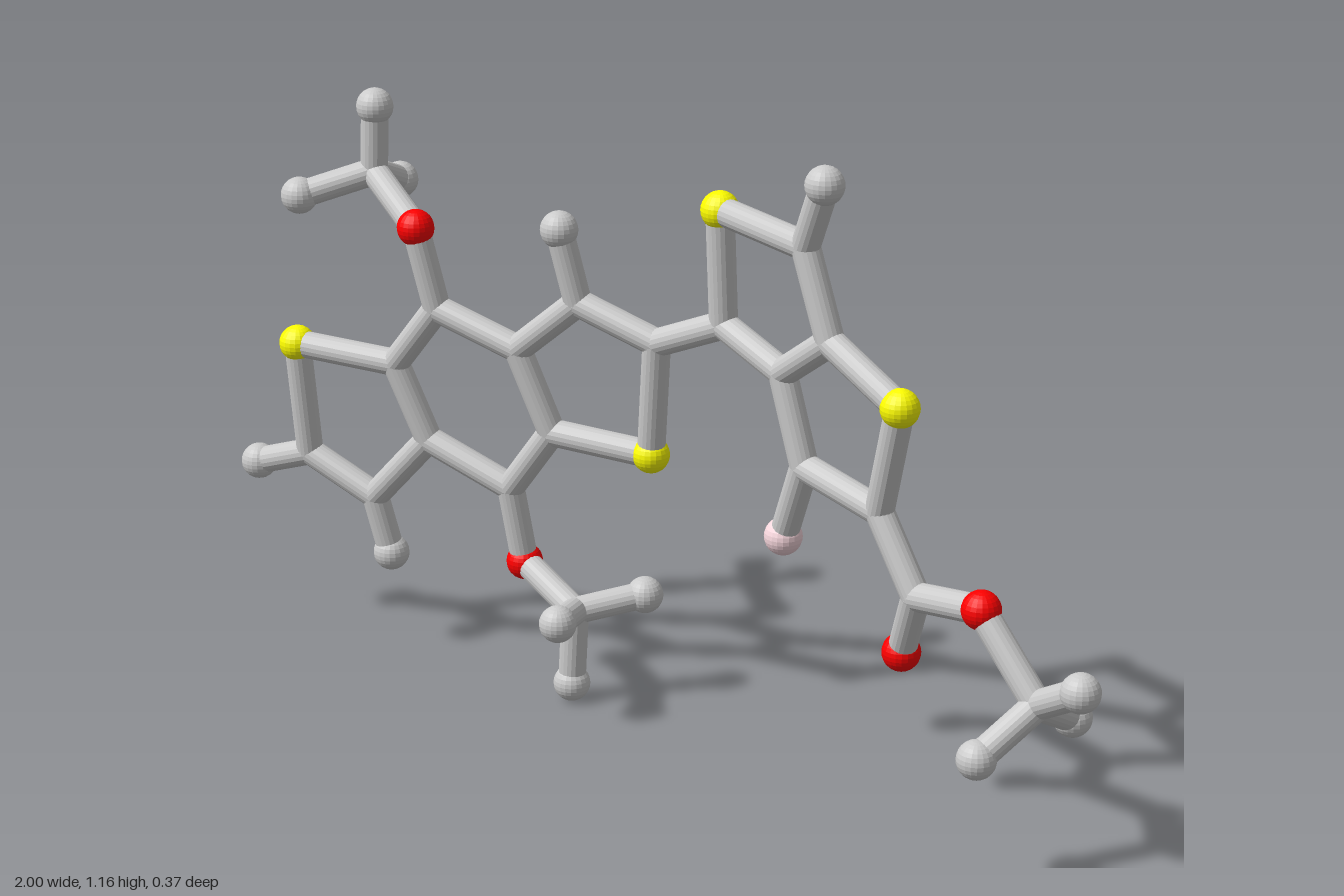
import * as THREE from 'three';

const ATOM_R = 0.035, BOND_R = 0.026;
const paint = (color) => new THREE.MeshStandardMaterial({ color, flatShading: true });
const grey = paint(0xcccccc);
const kinds = {
  C: { name: 'carbonJoint', r: BOND_R, mat: grey },
  H: { name: 'hydrogenBall', r: ATOM_R, mat: grey },
  S: { name: 'sulfurBall', r: ATOM_R, mat: paint(0xffff00) },
  O: { name: 'oxygenBall', r: ATOM_R, mat: paint(0xff0000) },
  F: { name: 'fluorineBall', r: ATOM_R, mat: paint(0xf8d8de) },
};

// Each fused ring system lies in a tilted plane z = a + b x + c y
const leftPlane = (x, y) => -0.183 - 0.167 * x + 0.1355 * y;
const rightPlane = (x, y) => -0.172 + 0.236 * x + 0.0825 * y;

// Atoms: first letter is the kind; a missing z is taken from the plane
const leftAtoms = {
  S1: [-0.837, 0.612], C2: [-0.842, 0.382], C3: [-0.703, 0.313], C4: [-0.564, 0.457], C5: [-0.618, 0.607],
  C6: [-0.511, 0.735], C7: [-0.345, 0.68], C8: [-0.29, 0.52], C9: [-0.393, 0.388],
  C10: [-0.206, 0.794], C11: [-0.05, 0.74], S12: [-0.083, 0.512],
  H2: [-0.966, 0.34], H3: [-0.682, 0.195], H10: [-0.23, 0.933],
  // upper methoxy
  O6: [-0.537, 0.892], C13: [-0.69, 0.962, -0.03],
  H13: [-0.68, 1.09, -0.025], H14: [-0.79, 0.92, 0.07], H15: [-0.728, 0.916, -0.143],
  // lower methoxy
  O9: [-0.38, 0.235], C16: [-0.222, 0.185, -0.046],
  H16: [-0.233, 0.036, -0.048], H17: [-0.168, 0.209, 0.07], H18: [-0.136, 0.207, -0.148],
};
const leftBonds = [
  'S1-C2-C3-C4-C5-S1', 'C5-C6-C7-C8-C9-C4', 'C7-C10-C11-S12-C8', 'C2-H2', 'C3-H3', 'C10-H10',
  'C6-O6-C13-H13', 'C13-H14', 'C13-H15', 'C9-O9-C16-H16', 'C16-H17', 'C16-H18',
];

const rightAtoms = {
  C1: [0.094, 0.8], S2: [0.099, 1.017], C3: [0.322, 1.003], C4: [0.377, 0.842], C5: [0.249, 0.751],
  S6: [0.548, 0.767], C7: [0.489, 0.559], C8: [0.297, 0.586],
  H3: [0.377, 1.125], F8: [0.233, 0.432],
  // methyl ester
  C9: [0.575, 0.425], O10: [0.52, 0.295, -0.042], O11: [0.735, 0.453],
  C12: [0.858, 0.315, 0.048],
  H12: [0.964, 0.378, 0.086], H13: [0.805, 0.236, 0.148], H14: [0.858, 0.254, -0.066],
};
const rightBonds = [
  'C1-S2-C3-C4-C5-C1', 'C4-S6-C7-C8-C5', 'C3-H3', 'C8-F8',
  'C7-C9-O10', 'C9-O11-C12-H12', 'C12-H13', 'C12-H14',
];

// Straight rod between two points
function rod(a, b) {
  const dir = b.clone().sub(a);
  const mesh = new THREE.Mesh(new THREE.CylinderGeometry(BOND_R, BOND_R, dir.length(), 20, 1), grey);
  mesh.name = 'bond';
  mesh.position.copy(a).add(b).multiplyScalar(0.5);
  mesh.quaternion.setFromUnitVectors(new THREE.Vector3(0, 1, 0), dir.normalize());
  return mesh;
}

// Balls for every atom, rods along every chain of bonds
function fragment(name, atoms, bonds, plane) {
  const group = new THREE.Group();
  group.name = name;
  const points = {};
  for (const [id, [x, y, z = plane(x, y)]] of Object.entries(atoms)) {
    const kind = kinds[id[0]];
    const ball = new THREE.Mesh(new THREE.SphereGeometry(kind.r, 20, 14), kind.mat);
    ball.name = kind.name;
    ball.position.set(x, y, z);
    points[id] = ball.position;
    group.add(ball);
  }
  for (const chain of bonds) {
    const ids = chain.split('-');
    for (let i = 1; i < ids.length; i++) group.add(rod(points[ids[i - 1]], points[ids[i]]));
  }
  return { group, points };
}

export function createModel() {
  const model = new THREE.Group();
  model.name = 'molecule';
  const threeRings = fragment('threeRingSystem', leftAtoms, leftBonds, leftPlane);
  const twoRings = fragment('twoRingSystem', rightAtoms, rightBonds, rightPlane);
  // Single bond joining the two ring systems
  const link = rod(threeRings.points.C11, twoRings.points.C1);
  link.name = 'linkingBond';
  model.add(threeRings.group, twoRings.group, link);
  return model;
}
